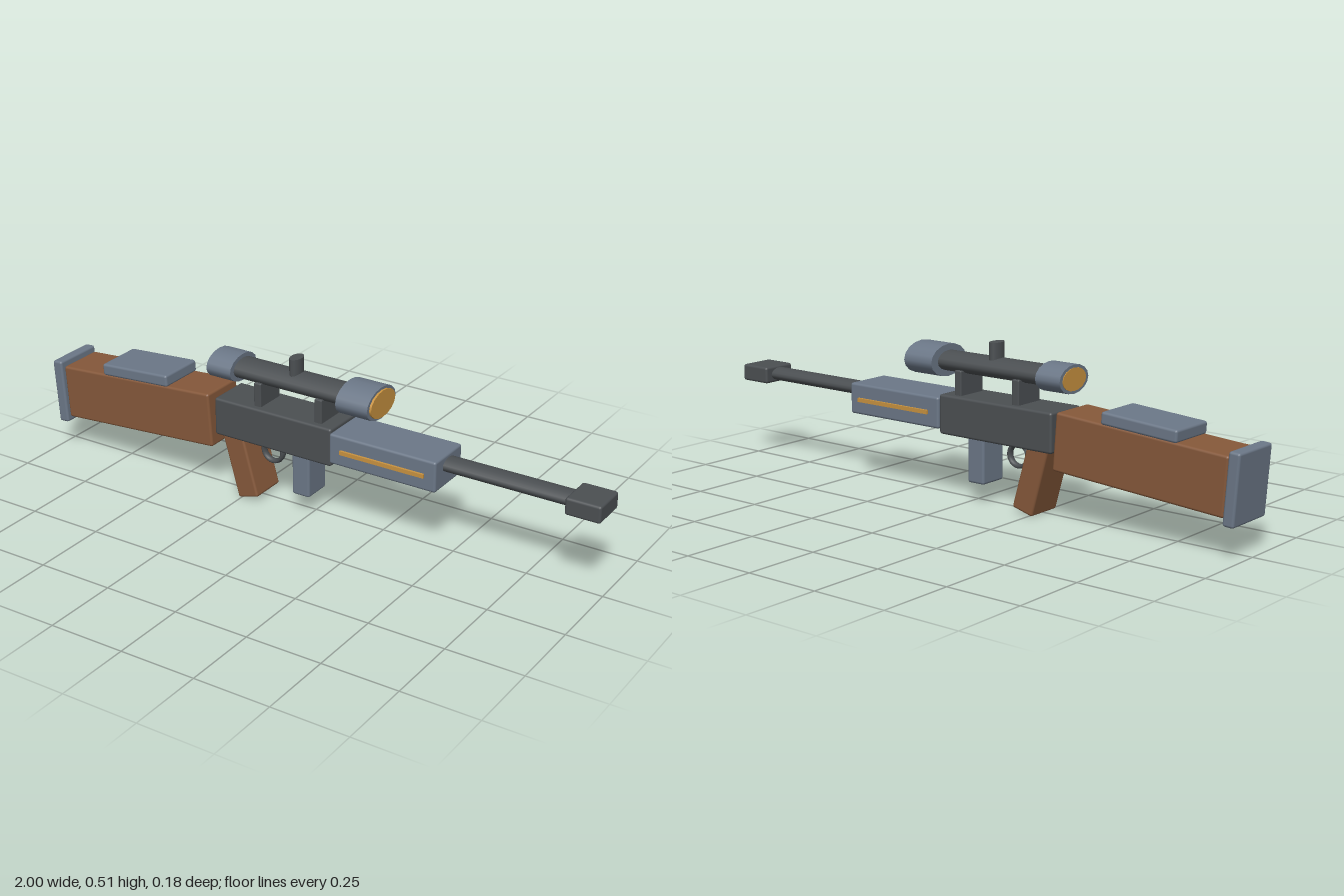
import * as THREE from 'three';
import { RoundedBoxGeometry } from 'three/addons/geometries/RoundedBoxGeometry.js';

export function createModel() {
  const model = new THREE.Group();
  const material = (name, color) => {
    const m = new THREE.MeshStandardMaterial({ color });
    m.name = name;
    return m;
  };
  const steel = material('blue grey steel', 0x6b7787);
  const dark = material('dark metal', 0x4b4f52);
  const wood = material('brown wood', 0x85583a);
  const amber = material('amber', 0xc8923f);

  const add = (name, geometry, mat, x, y, z = 0, tilt = 0) => {
    const mesh = new THREE.Mesh(geometry, mat);
    mesh.name = name;
    mesh.position.set(x, y, z);
    mesh.rotation.z = tilt;
    model.add(mesh);
    return mesh;
  };
  // Softly bevelled block
  const block = (name, mat, x, y, w, h, d, tilt = 0, r = 0.008) =>
    add(name, new RoundedBoxGeometry(w, h, d, 2, r), mat, x, y, 0, tilt);
  // Oval rod along x, from x0 to x1, wider in z than in y
  const rod = (name, mat, x0, x1, y, ry, rz, sides = 16) => {
    const g = new THREE.CylinderGeometry(1, 1, x1 - x0, sides);
    g.rotateZ(-Math.PI / 2).scale(1, ry, rz);
    return add(name, g, mat, (x0 + x1) / 2, y);
  };

  // Stock
  block('stock', wood, -0.654, 0.236, 0.6, 0.183, 0.16, 0.07);
  block('buttPad', steel, -0.975, 0.213, 0.038, 0.22, 0.178, 0.07);
  block('cheekRest', steel, -0.657, 0.345, 0.265, 0.04, 0.164, 0.07);

  // Body and handguard
  block('receiver', dark, -0.12, 0.277, 0.44, 0.128, 0.148);
  block('handguard', steel, 0.286, 0.28, 0.376, 0.102, 0.162);
  for (const side of [-1, 1]) {
    add('handguardStripe', new THREE.BoxGeometry(0.296, 0.013, 0.009), amber, 0.288, 0.279, side * 0.0845);
  }

  // Barrel
  rod('barrel', dark, 0.46, 0.9, 0.297, 0.022, 0.037);
  block('muzzle', dark, 0.943, 0.297, 0.114, 0.056, 0.122);

  // Grip, magazine and trigger ring
  block('grip', wood, -0.253, 0.125, 0.078, 0.235, 0.128, 0.27);
  block('magazine', steel, -0.028, 0.153, 0.065, 0.174, 0.1);
  const ring = new THREE.TorusGeometry(0.036, 0.0075, 8, 24).scale(1, 1, 1.7);
  add('triggerRing', ring, dark, -0.163, 0.171);

  // Scope
  const scopeY = 0.437;
  rod('scopeTube', dark, -0.3, 0.15, scopeY, 0.032, 0.053);
  rod('scopeFrontRing', steel, 0.122, 0.235, scopeY, 0.052, 0.085);
  rod('scopeRearRing', steel, -0.369, -0.277, scopeY, 0.045, 0.073);
  rod('frontLens', amber, 0.234, 0.242, scopeY, 0.044, 0.072);
  rod('rearLens', amber, -0.371, -0.367, scopeY, 0.036, 0.059);
  for (const x of [-0.187, 0.04]) {
    block('scopeMount', dark, x, 0.375, 0.027, 0.09, 0.108, 0, 0.004);
  }
  const knob = new THREE.CylinderGeometry(0.019, 0.019, 0.062, 14).scale(1, 1, 1.65);
  add('scopeKnob', knob, dark, -0.073, 0.487);

  return model;
}
